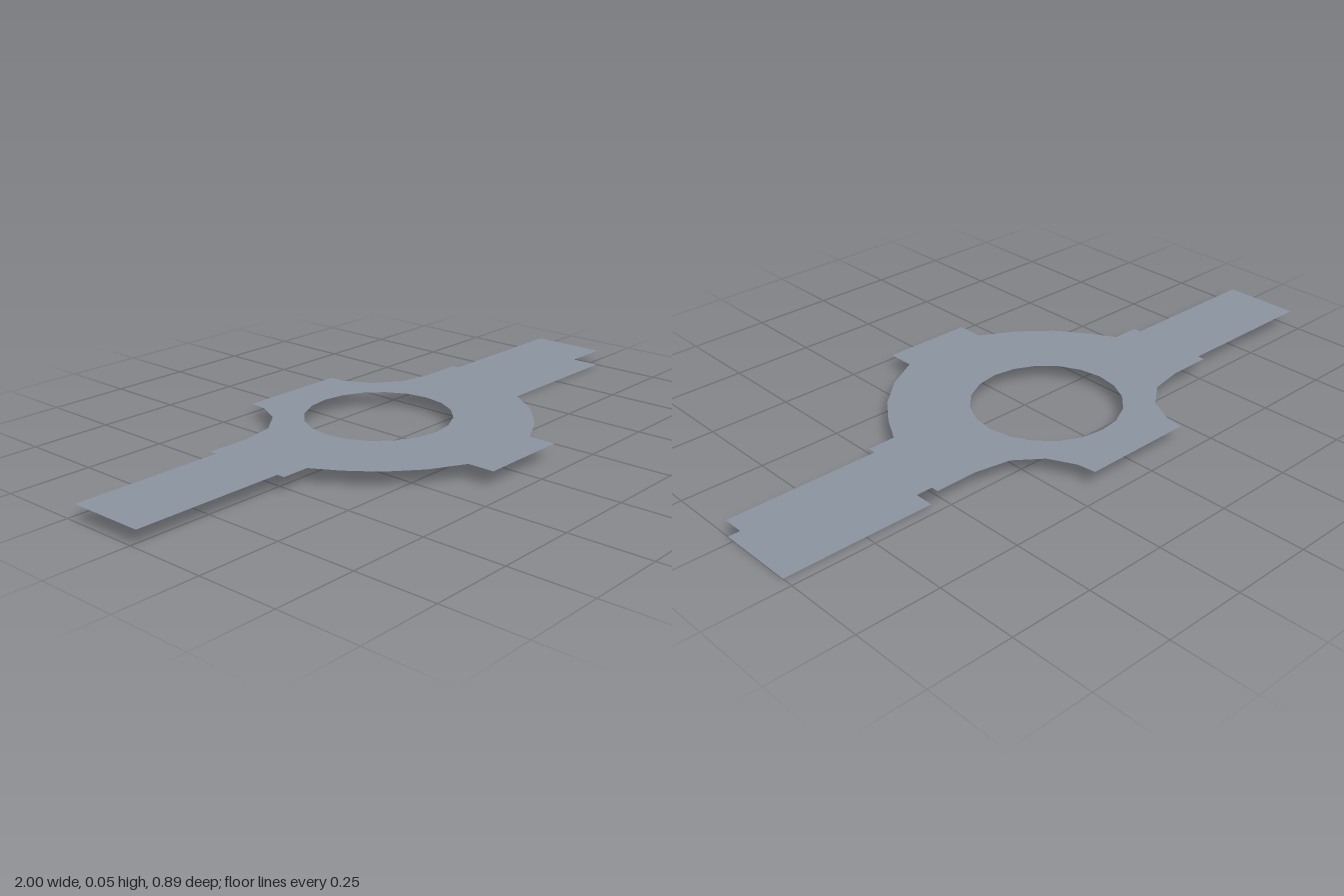
import * as THREE from 'three';

export function createModel() {
  const model = new THREE.Group();
  const steel = new THREE.MeshStandardMaterial({ color: 0x8a929e, side: THREE.DoubleSide });
  steel.name = 'blue grey steel';

  // Flat horizontal sheet from [x, z] points, with an optional round hole
  function sheet(name, points, y, holeRadius = 0) {
    const shape = new THREE.Shape(points.map(([x, z]) => new THREE.Vector2(x, -z)));
    if (holeRadius) {
      const hole = [];
      for (let i = 0; i < 20; i++) {
        const a = (i / 20) * Math.PI * 2;
        hole.push(new THREE.Vector2(Math.cos(a) * holeRadius, 0.092 + Math.sin(a) * holeRadius));
      }
      shape.holes.push(new THREE.Path(hole));
    }
    const geometry = new THREE.ShapeGeometry(shape);
    geometry.rotateX(-Math.PI / 2);
    const mesh = new THREE.Mesh(geometry, steel);
    mesh.name = name;
    mesh.position.y = y;
    model.add(mesh);
  }

  // Closes a right-hand half outline by mirroring it across x = 0
  const mirrored = (half) => [...half, ...half.map(([x, z]) => [-x, z]).reverse()];

  const top = 0.05;

  // Body with rear lug, side shoulders, rounded front and front lug
  sheet('bodyPlate', mirrored([
    [0.173, -0.452], [0.18, -0.395], [0.22, -0.315], [0.295, -0.256], [0.4, -0.236],
    [0.533, -0.236], [0.533, 0.052], [0.447, 0.052], [0.4, 0.135], [0.337, 0.22],
    [0.246, 0.3], [0.142, 0.358], [0.142, 0.442],
  ]), top, 0.226);

  // Slightly smaller backing sheet under the body
  sheet('bodyBacking', mirrored([
    [0.06, -0.386], [0.165, -0.415], [0.175, -0.385], [0.213, -0.31], [0.29, -0.25],
    [0.38, -0.228], [0.44, -0.226], [0.44, 0.052], [0.393, 0.135], [0.33, 0.22],
    [0.24, 0.296], [0.135, 0.352],
  ]), top - 0.001, 0.222);

  // Arms, plus the lower plate beneath the left one
  const arm = (side, inner) => [
    [side * inner, -0.213], [side, -0.213], [side, 0.027], [side * inner, 0.027],
  ];
  sheet('leftArm', arm(1, 0.533), top);
  sheet('rightArm', arm(-1, 0.533), top);
  sheet('lowerLeftPlate', arm(1, 0.537), 0);

  return model;
}
